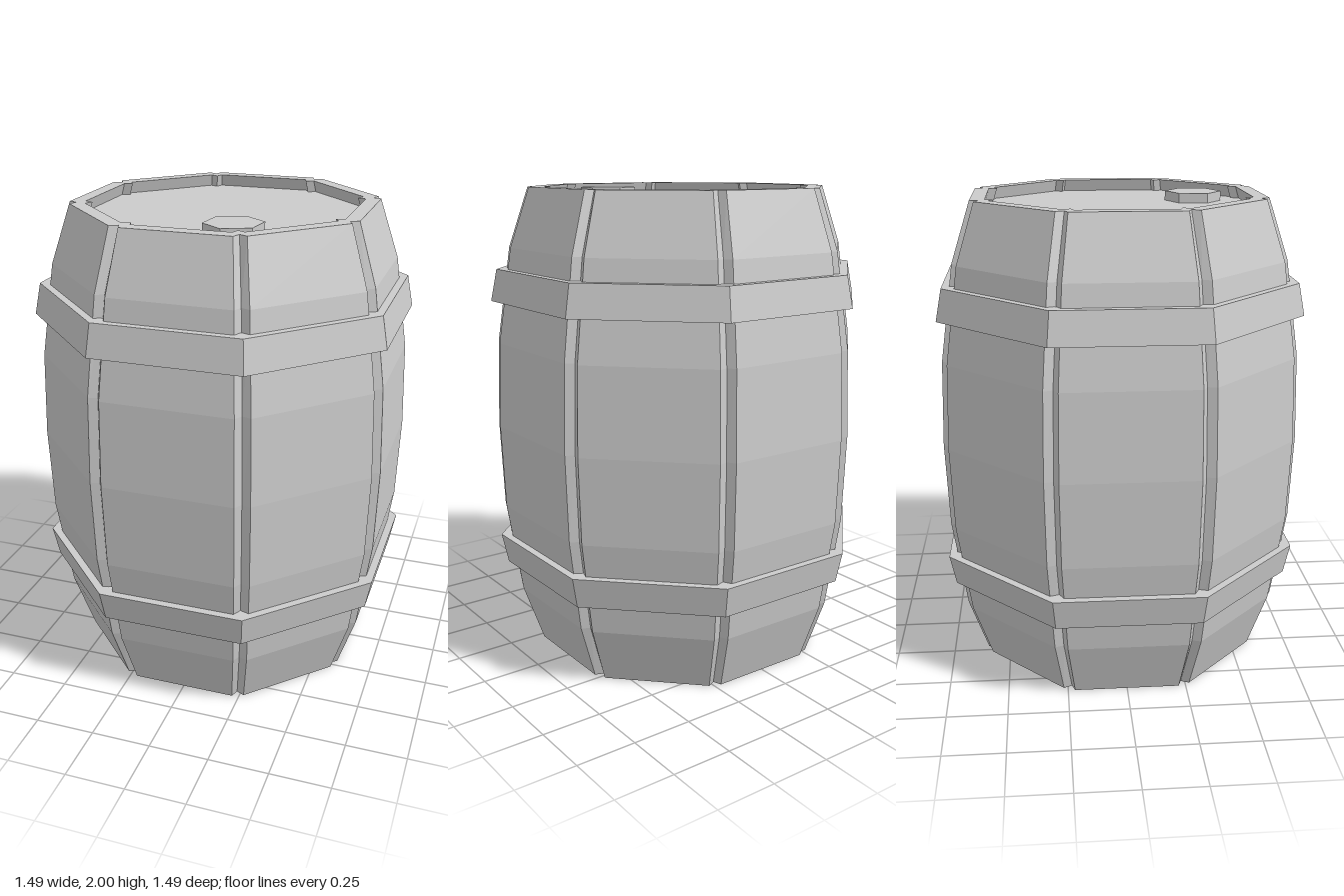
import * as THREE from 'three';

const SIDES = 8;
const STEP = (Math.PI * 2) / SIDES;
const TAN = Math.tan(STEP / 2);
const WALL = 0.06; // stave thickness

const material = new THREE.MeshStandardMaterial({ color: 0xcccccc, flatShading: true });

// Outline of the barrel wall: eight flat staves with a V groove at each corner
function staveOutline(apothem, y) {
  const points = [];
  const half = apothem * TAN * 0.89;
  const groove = apothem / Math.cos(STEP / 2) - 0.038;
  for (let i = 0; i < SIDES; i++) {
    const a = i * STEP;
    const s = Math.sin(a), c = Math.cos(a);
    for (const t of [-half, half]) {
      points.push(new THREE.Vector3(apothem * s + t * c, y, apothem * c - t * s));
    }
    const b = a + STEP / 2;
    points.push(new THREE.Vector3(groove * Math.sin(b), y, groove * Math.cos(b)));
  }
  return points;
}

// Plain octagon with flats on the x and z axes
function octagonOutline(apothem, y) {
  const r = apothem / Math.cos(STEP / 2);
  return Array.from({ length: SIDES }, (_, i) => {
    const a = (i + 0.5) * STEP;
    return new THREE.Vector3(r * Math.sin(a), y, r * Math.cos(a));
  });
}

// Closed ring: carries an outline round a closed [apothem, y] profile
function ringGeometry(profile, outline) {
  const rings = profile.map(([r, y]) => outline(r, y));
  const pos = [];
  rings.forEach((low, i) => {
    const high = rings[(i + 1) % rings.length];
    for (let j = 0; j < low.length; j++) {
      const k = (j + 1) % low.length;
      for (const p of [low[j], low[k], high[k], low[j], high[k], high[j]]) pos.push(p.x, p.y, p.z);
    }
  });
  const geometry = new THREE.BufferGeometry();
  geometry.setAttribute('position', new THREE.Float32BufferAttribute(pos, 3));
  geometry.computeVertexNormals();
  return geometry;
}

export function createModel() {
  const group = new THREE.Group();
  const add = (name, geometry) => {
    const mesh = new THREE.Mesh(geometry, material);
    mesh.name = name;
    group.add(mesh);
    return mesh;
  };

  // Bulging stave wall, up the outside and back down the inside
  const outer = [[0.598, 0], [0.677, 0.245], [0.733, 0.64], [0.745, 1], [0.733, 1.36], [0.677, 1.755], [0.598, 2]];
  const inner = outer.map(([r, y]) => [r - WALL, y]).reverse();
  add('staves', ringGeometry([...outer, ...inner], staveOutline));

  // Hoops, each flaring towards the middle of the barrel
  add('upperHoop', ringGeometry([[0.66, 1.535], [0.745, 1.535], [0.72, 1.667], [0.66, 1.667]], octagonOutline));
  add('lowerHoop', ringGeometry([[0.66, 0.37], [0.72, 0.37], [0.745, 0.5], [0.66, 0.5]], octagonOutline));

  // Recessed heads
  for (const [name, y] of [['topHead', 1.93], ['bottomHead', 0.07]]) {
    const head = add(name, new THREE.CylinderGeometry(0.612, 0.612, 0.04, SIDES));
    head.rotation.y = STEP / 2;
    head.position.y = y;
  }

  // Hexagonal bung in the top head
  const bung = add('bung', new THREE.CylinderGeometry(0.12, 0.12, 0.06, 6));
  bung.position.set(0.14, 1.96, 0.34);
  bung.rotation.y = -0.116;

  return group;
}
